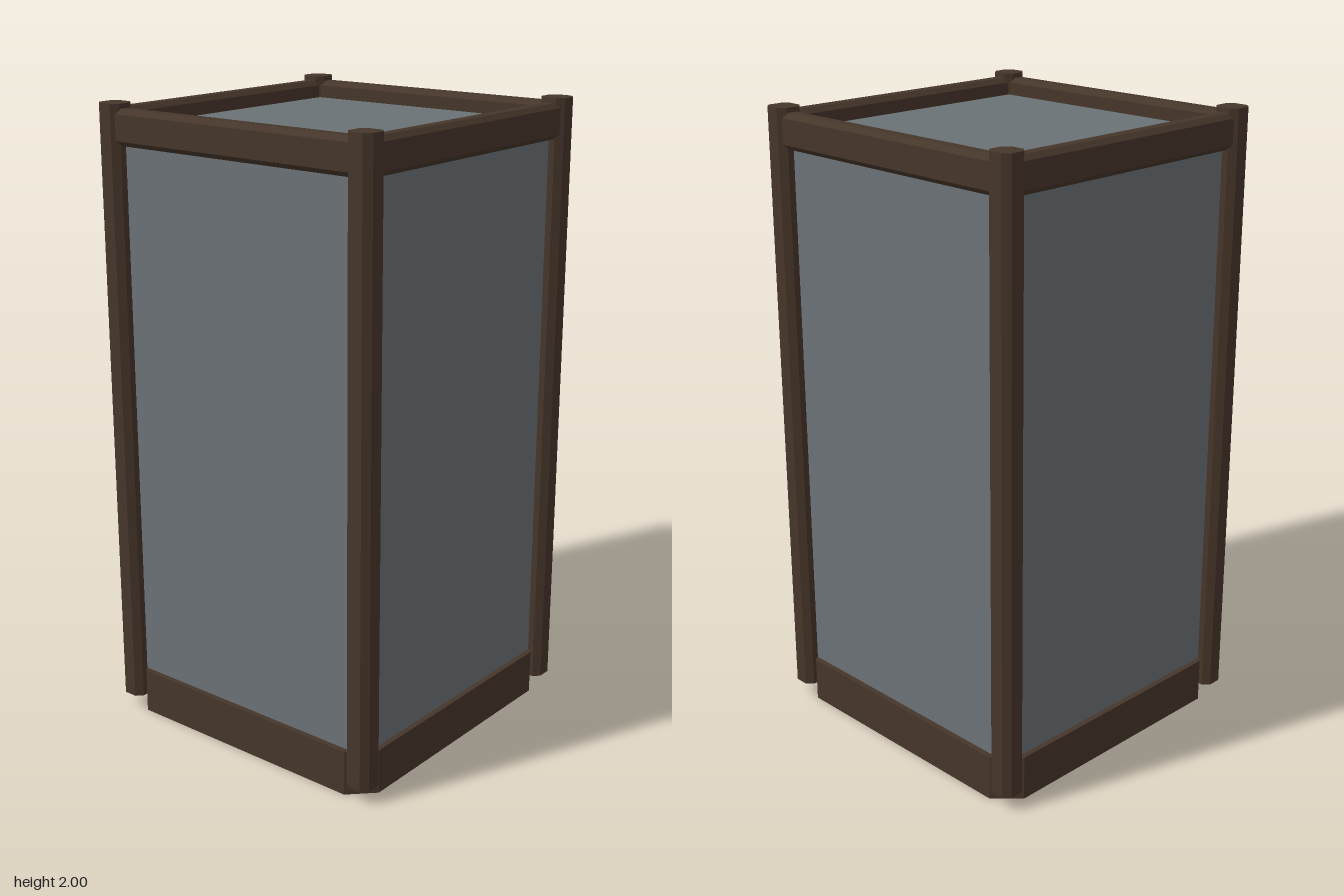
import * as THREE from 'three';

const wood = new THREE.MeshStandardMaterial({ color: 0x46362a, flatShading: true });
const glass = new THREE.MeshStandardMaterial({ color: 0x6b7275, flatShading: true });

// Bar with chamfered long edges: w by h section, running along z and centred on it
function chamferedBar(w, h, length, c) {
  const x = w / 2, y = h / 2;
  const shape = new THREE.Shape([
    [x, -y + c], [x, y - c], [x - c, y], [-x + c, y],
    [-x, y - c], [-x, -y + c], [-x + c, -y], [x - c, -y],
  ].map(([a, b]) => new THREE.Vector2(a, b)));
  const geo = new THREE.ExtrudeGeometry(shape, { depth: length, bevelEnabled: false });
  return geo.translate(0, 0, -length / 2);
}

export function createModel() {
  const model = new THREE.Group();
  model.name = 'glassCase';

  const add = (name, geo, mat, x = 0, y = 0, z = 0, turn = 0) => {
    const mesh = new THREE.Mesh(geo, mat);
    mesh.name = name;
    mesh.position.set(x, y, z);
    mesh.rotation.y = turn;
    model.add(mesh);
  };

  // Solid plinth with cut corners
  add('base', chamferedBar(0.99, 0.99, 0.145, 0.075).rotateX(-Math.PI / 2), wood, 0, 0.0725);

  // Glazed body between the posts
  add('glassPanels', new THREE.BoxGeometry(0.954, 1.8, 0.954), glass, 0, 1.03);

  // Four corner posts
  const post = chamferedBar(0.085, 0.085, 1.95, 0.02).rotateX(-Math.PI / 2);
  for (const x of [-1, 1])
    for (const z of [-1, 1])
      add('cornerPost', post, wood, x * 0.4755, 1.025, z * 0.4755);

  // Four top rails joining the posts
  const rail = chamferedBar(0.063, 0.11, 0.9, 0.015);
  for (let i = 0; i < 4; i++) {
    const a = i * Math.PI / 2;
    add('topRail', rail, wood, Math.cos(a) * 0.4765, 1.93, -Math.sin(a) * 0.4765, a);
  }

  return model;
}
